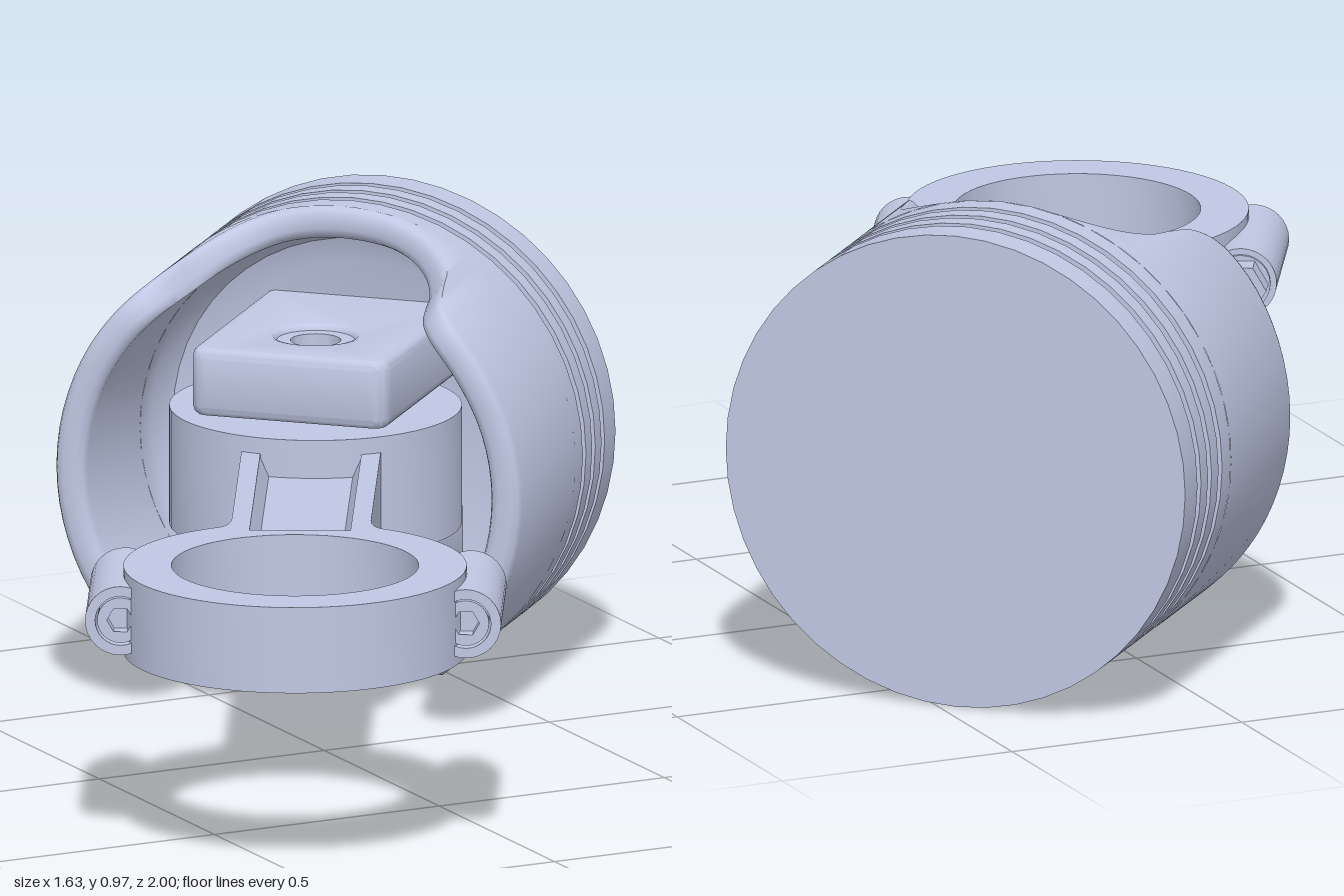
import * as THREE from 'three';
import { toCreasedNormals } from 'three/addons/utils/BufferGeometryUtils.js';

const steel = new THREE.MeshStandardMaterial({ color: 0xc0c8e4 });
steel.name = 'pale steel';
const R = 0.485, RI = 0.42; // piston outer and inner radius

function part(parent, name, geometry, crease = 0.6) {
  const flat = geometry.index ? geometry.toNonIndexed() : geometry;
  const mesh = new THREE.Mesh(toCreasedNormals(flat, crease), steel);
  mesh.name = name;
  parent.add(mesh);
  return mesh;
}

function circlePath(r, sides = 40, Type = THREE.Path) {
  const pts = [];
  for (let i = 0; i < sides; i++) {
    const t = (i / sides) * Math.PI * 2;
    pts.push(new THREE.Vector2(r * Math.cos(t), r * Math.sin(t)));
  }
  return new Type(pts);
}

// Extrude a plan shape (x, z) symmetrically about y = 0, rounding its rims by bevel
function slab(shape, height, bevel = 0) {
  const depth = height - 2 * bevel;
  const g = new THREE.ExtrudeGeometry(shape, {
    depth, curveSegments: 12, bevelEnabled: bevel > 0,
    bevelThickness: bevel, bevelSize: bevel, bevelOffset: -bevel, bevelSegments: 3,
  });
  return g.translate(0, 0, -depth / 2).rotateX(Math.PI / 2);
}

// Extrude a shape along x from x0 to x1
function alongX(shape, x0, x1) {
  const g = new THREE.ExtrudeGeometry(shape, { depth: x1 - x0, bevelEnabled: false });
  return g.rotateY(Math.PI / 2).translate(x0, 0, 0);
}

function rodX(r, x0, x1, sides) {
  return new THREE.CylinderGeometry(r, r, x1 - x0, sides).rotateZ(-Math.PI / 2).translate((x0 + x1) / 2, 0, 0);
}

// Crown with three ring grooves and a hollow underside
function crownGeometry() {
  const p = [[0, 0.31], [RI - 0.08, 0.31], [RI - 0.03, 0.29], [RI, 0.24], [RI, 0.17], [R, 0.17]];
  for (const a of [0.22, 0.28, 0.34]) {
    p.push([R, a], [R - 0.017, a], [R - 0.017, a + 0.02], [R, a + 0.02]);
  }
  p.push([R, 0.43], [0, 0.43]);
  return new THREE.LatheGeometry(p.map(q => new THREE.Vector2(...q)), 48).rotateZ(-Math.PI / 2);
}

// Skirt wall whose lower edge is arched on both pin sides
function skirtGeometry() {
  const keys = [[0, 0.152], [12, 0.15], [20.5, 0.13], [28, 0.08], [33, 0.01], [35.3, -0.06],
    [38.2, -0.13], [43.7, -0.172], [55, -0.187], [72, -0.187], [90, -0.187]];
  const curve = new THREE.CatmullRomCurve3(keys.map(([t, e]) => new THREE.Vector3(t / 100, e, 0)));
  const quarter = curve.getPoints(40).map(v => [v.x * 100, v.y]);
  const back = quarter.slice(0, -1).reverse().map(([t, e]) => [180 - t, e]);
  const half = [...quarter, ...back];
  const columns = [...half, ...half.slice(1).map(([t, e]) => [t + 180, e])];
  const pos = [], idx = [], n = 8;
  for (const [deg, e] of columns) {
    const t = THREE.MathUtils.degToRad(deg), up = Math.min(e + 0.02, 0.168);
    const section = [[R, 0.17], [R, up], [R - 0.006, e + 0.006], [R - 0.02, e],
      [RI + 0.02, e], [RI + 0.006, e + 0.006], [RI, up], [RI, 0.17]];
    for (const [r, a] of section) pos.push(a, r * Math.cos(t), r * Math.sin(t));
  }
  for (let i = 0; i < columns.length - 1; i++) {
    for (let k = 0; k < n - 1; k++) {
      const a = i * n + k, b = a + n;
      idx.push(a, a + 1, b, b, a + 1, b + 1);
    }
  }
  const g = new THREE.BufferGeometry();
  g.setAttribute('position', new THREE.Float32BufferAttribute(pos, 3));
  g.setIndex(idx);
  return g;
}

function pinBossShape() {
  const s = new THREE.Shape(), w = 0.205, x0 = -0.185, x1 = 0.33, c = 0.04;
  s.moveTo(x1, -w);
  s.lineTo(x1, w);
  s.lineTo(x0 + c, w);
  s.quadraticCurveTo(x0, w, x0, w - c);
  s.lineTo(x0, c - w);
  s.quadraticCurveTo(x0, -w, x0 + c, -w);
  s.closePath();
  s.holes.push(circlePath(0.075));
  return s;
}

// Big-end ring and beam as one outline, with bore and lightening pocket
function rodShape() {
  const s = new THREE.Shape(), w = 0.138, r = 0.34, t = 0.5;
  s.moveTo(0.95, w);
  s.lineTo(0.37, w);
  s.quadraticCurveTo(0.315, w, r * Math.cos(t), r * Math.sin(t));
  for (let i = 1; i <= 56; i++) {
    const a = t + (i / 56) * (Math.PI * 2 - 2 * t);
    s.lineTo(r * Math.cos(a), r * Math.sin(a));
  }
  s.quadraticCurveTo(0.315, -w, 0.37, -w);
  s.lineTo(0.95, -w);
  s.closePath();
  const pocket = new THREE.Path([[0.28, -0.1], [0.92, -0.1], [0.92, 0.1], [0.28, 0.1]].map(q => new THREE.Vector2(...q)));
  s.holes.push(circlePath(0.245, 56), pocket);
  return s;
}

function addBolt(parent, side) {
  const bolt = new THREE.Group();
  bolt.name = side > 0 ? 'boltRightSide' : 'boltLeftSide';
  bolt.position.z = side * 0.342;
  const sleeve = circlePath(0.07, 32, THREE.Shape);
  sleeve.holes.push(circlePath(0.05, 32));
  part(bolt, 'boltSleeve', alongX(sleeve, -0.115, 0.2));
  const head = circlePath(0.046, 32, THREE.Shape);
  head.holes.push(circlePath(0.027, 6));
  part(bolt, 'socketHead', alongX(head, -0.11, -0.07));
  part(bolt, 'shank', rodX(0.032, -0.08, 0.285, 20));
  part(bolt, 'washer', rodX(0.058, 0.195, 0.207, 24));
  part(bolt, 'nut', rodX(0.054, 0.207, 0.258, 6));
  parent.add(bolt);
}

export function createModel() {
  const model = new THREE.Group();
  model.name = 'pistonAndRod';

  // Piston, local +x pointing at the crown, origin on the pin
  const piston = new THREE.Group();
  piston.name = 'piston';
  piston.position.set(0.165, 0.486, -0.36);
  piston.rotation.y = Math.PI / 4;
  part(piston, 'crown', crownGeometry());
  part(piston, 'skirt', skirtGeometry(), 0.8);
  for (const side of [1, -1]) {
    const boss = part(piston, side > 0 ? 'upperPinBoss' : 'lowerPinBoss', slab(pinBossShape(), 0.14, 0.02));
    boss.position.y = side * 0.195;
  }

  // Hollow pin
  const pin = circlePath(0.08, 40, THREE.Shape);
  pin.holes.push(circlePath(0.05));
  part(piston, 'wristPin', slab(pin, 0.505));
  model.add(piston);

  // Connecting rod, local +x pointing from big end to pin
  const rod = new THREE.Group();
  rod.name = 'connectingRod';
  rod.position.set(-0.4, 0.487, 0.655);
  rod.rotation.y = Math.atan2(1.015, 0.565);
  part(rod, 'bigEndAndBeam', slab(rodShape(), 0.175));
  part(rod, 'beamWeb', new THREE.BoxGeometry(0.65, 0.085, 0.21).translate(0.6, 0, 0));
  // Sloped fillets along the pocket walls
  for (const side of [1, -1]) {
    const wedge = new THREE.Shape([[-0.1, 0.08], [-0.082, 0.04], [-0.082, -0.04], [-0.1, -0.08]].map(([z, y]) => new THREE.Vector2(side * z, y)));
    part(rod, 'pocketFillet', alongX(wedge, 0.28, 0.92), 0.3);
  }
  const smallEnd = circlePath(0.29, 56, THREE.Shape);
  smallEnd.holes.push(circlePath(0.08));
  part(rod, 'smallEnd', slab(smallEnd, 0.24)).position.x = Math.hypot(0.565, 1.015);
  for (const side of [1, -1]) addBolt(rod, side);
  model.add(rod);

  return model;
}
